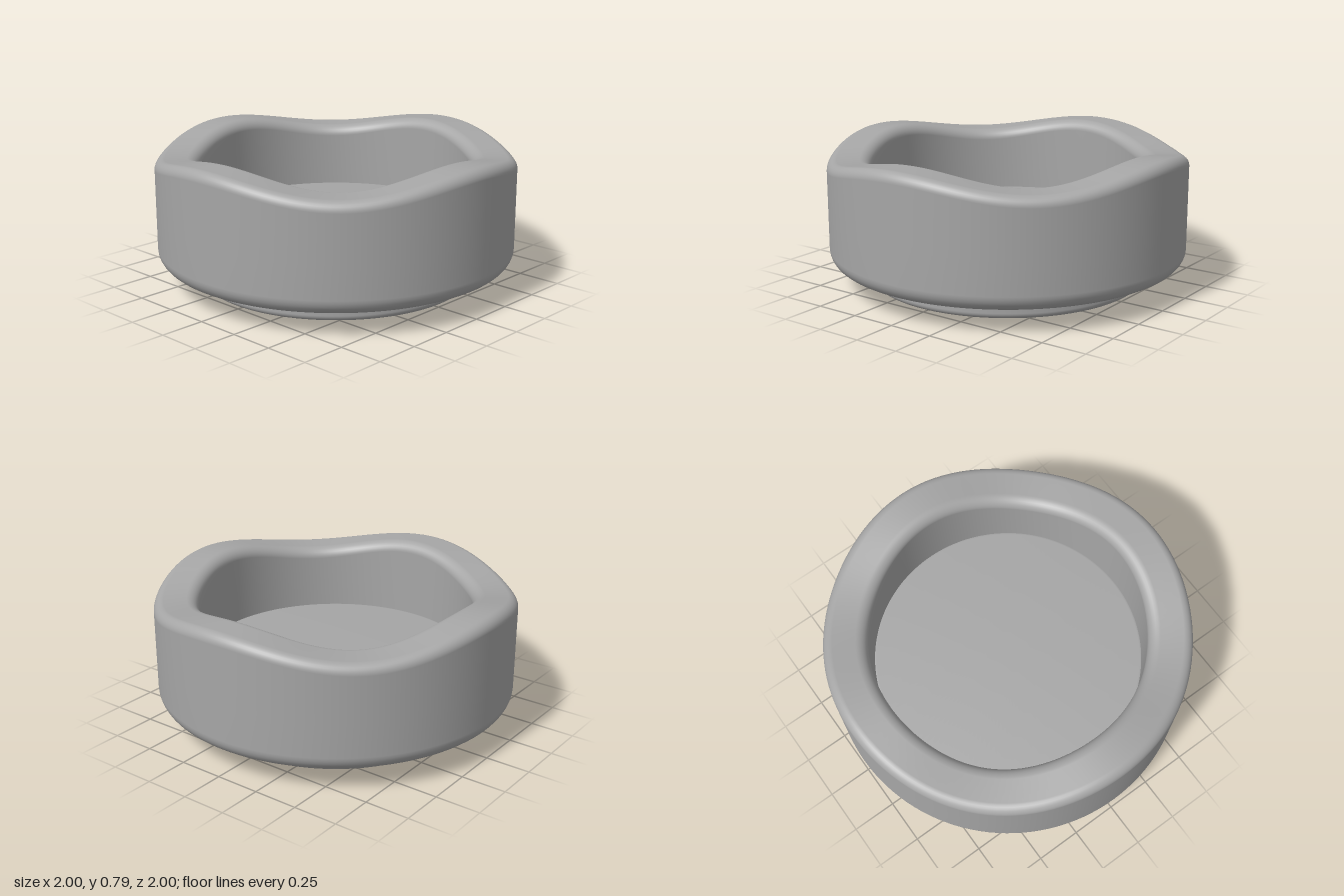
import * as THREE from 'three';
import { mergeVertices } from 'three/addons/utils/BufferGeometryUtils.js';

const SEGMENTS = 128;

// Quarter-round corner as profile points, from angle a to a + 90 degrees
function corner(cx, cy, rx, ry, a, steps = 8) {
  return Array.from({ length: steps + 1 }, (_, i) => {
    const t = a + (i / steps) * Math.PI / 2;
    return new THREE.Vector2(cx + rx * Math.cos(t), cy + ry * Math.sin(t));
  });
}

// Shallow dome profile between the axis and radius r
function dome(r, yEdge, yCentre, steps = 6) {
  return Array.from({ length: steps }, (_, i) => {
    const t = i / steps;
    return new THREE.Vector2(r * t, yCentre + (yEdge - yCentre) * t * t);
  });
}

// Lathe with welded seam and smooth normals; bend(y, angle) shifts heights
function turn(points, bend = (y) => y) {
  let geo = new THREE.LatheGeometry(points, SEGMENTS);
  const p = geo.attributes.position;
  for (let i = 0; i < p.count; i++) {
    p.setY(i, bend(p.getY(i), Math.atan2(p.getX(i), p.getZ(i))));
  }
  geo.deleteAttribute('normal');
  geo.deleteAttribute('uv');
  geo = mergeVertices(geo, 1e-5);
  geo.computeVertexNormals();
  return geo;
}

export function createModel() {
  const group = new THREE.Group();
  const grey = new THREE.MeshStandardMaterial({ color: 0xa6a6a6 });
  const add = (name, geo) => {
    const mesh = new THREE.Mesh(geo, grey);
    mesh.name = name;
    group.add(mesh);
  };
  const PI = Math.PI;

  // Thick ring wall whose rim rises and falls in four waves
  const wall = [
    new THREE.Vector2(0.75, 0.112),
    new THREE.Vector2(0.82, 0.115),
    ...corner(0.91, 0.215, 0.09, 0.09, -PI / 2),
    new THREE.Vector2(1, 0.4),
    ...corner(0.945, 0.695, 0.055, 0.055, 0),
    ...corner(0.82, 0.69, 0.065, 0.06, PI / 2),
    new THREE.Vector2(0.755, 0.4),
    new THREE.Vector2(0.755, 0.2),
  ];
  add('wavyRingWall', turn(wall, (y, a) =>
    y + 0.04 * Math.cos(4 * a) * THREE.MathUtils.smoothstep(y, 0.3, 0.68)));

  // Round cushion: its top is the inner floor, its underside the foot
  const cushion = [
    ...dome(0.74, 0.018, 0),
    ...corner(0.745, 0.05, 0.03, 0.032, -PI / 2),
    ...corner(0.745, 0.325, 0.03, 0.025, 0),
    ...dome(0.745, 0.35, 0.365).reverse(),
  ];
  add('cushionFloor', turn(cushion));

  return group;
}
